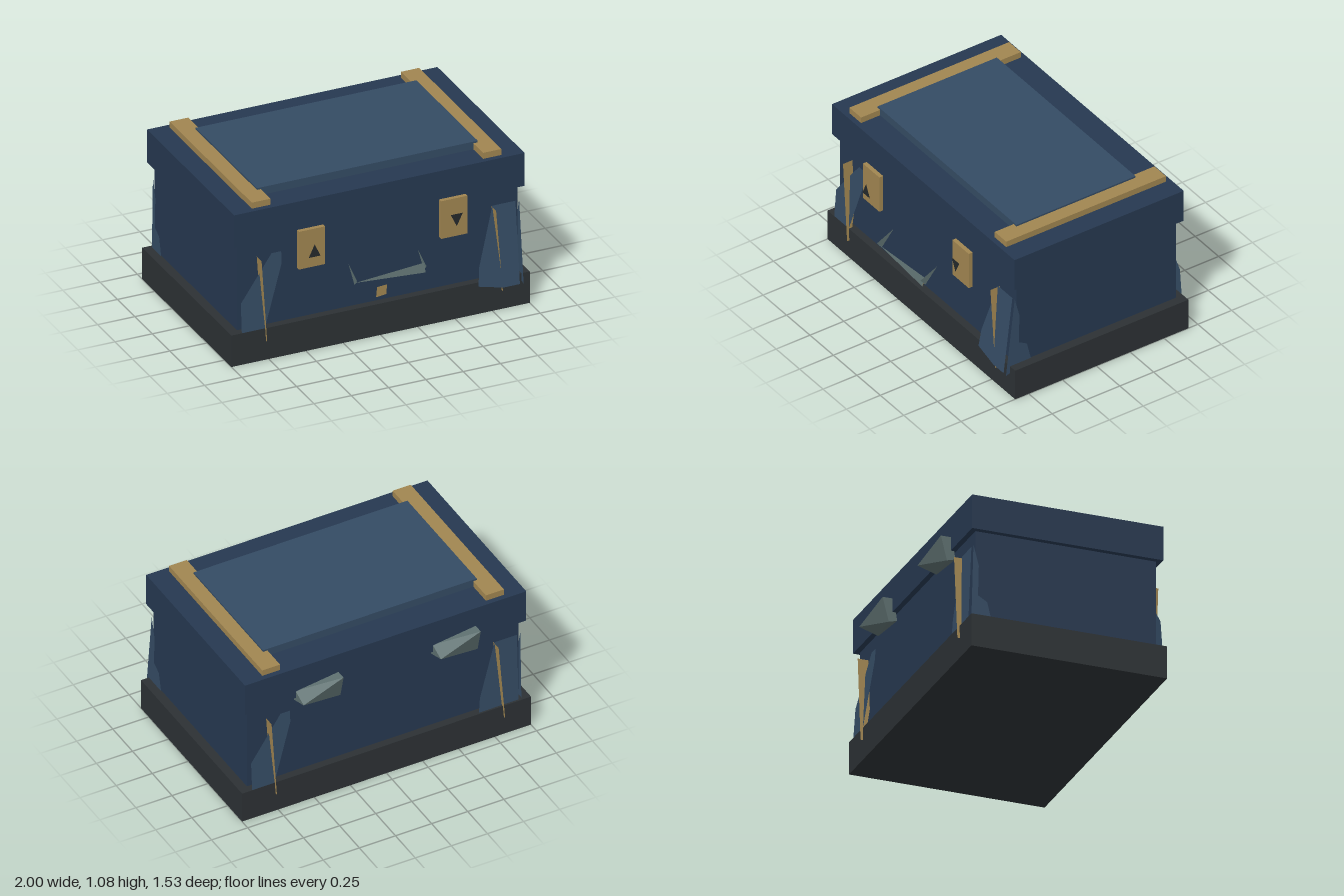
import * as THREE from 'three';
import { ConvexGeometry } from 'three/addons/geometries/ConvexGeometry.js';

const paint = (color, side = THREE.FrontSide) =>
  new THREE.MeshStandardMaterial({ color, side, flatShading: true });

export function createModel() {
  const model = new THREE.Group();
  const navy = paint(0x263850), slate = paint(0x344b63), brass = paint(0xa08550);
  const iron = paint(0x2c3134), steel = paint(0x5c6e6e);
  const thin = (color) => paint(color, THREE.DoubleSide);
  const slateThin = thin(0x344b63), brassThin = thin(0xa08550);
  const steelThin = thin(0x5c6e6e), darkThin = thin(0x24282b);

  const add = (name, geometry, material, parent = model) => {
    const mesh = new THREE.Mesh(geometry, material);
    mesh.name = name;
    parent.add(mesh);
    return mesh;
  };

  // Box given by its limits on each axis
  const block = (name, [x0, x1], [y0, y1], [z0, z1], material) => {
    const g = new THREE.BoxGeometry(x1 - x0, y1 - y0, z1 - z0);
    g.translate((x0 + x1) / 2, (y0 + y1) / 2, (z0 + z1) / 2);
    return add(name, g, material);
  };

  // Flat outline whose points are placed in space by a rule
  const sheet = (name, outline, place, material, parent = model) => {
    const g = new THREE.ShapeGeometry(new THREE.Shape(outline.map(([a, b]) => new THREE.Vector2(a, b))));
    const p = g.attributes.position;
    for (let i = 0; i < p.count; i++) p.setXYZ(i, ...place(p.getX(i), p.getY(i)));
    g.computeVertexNormals();
    return add(name, g, material, parent);
  };

  // Base, body and lid
  block('base', [-1, 1], [0, 0.215], [-0.68, 0.6], iron);
  block('body', [-0.94, 0.94], [0.2, 0.81], [-0.63, 0.55], navy);
  block('lid', [-0.975, 0.972], [0.8, 1.025], [-0.665, 0.585], navy);
  block('lidPanel', [-0.74, 0.74], [1.02, 1.077], [-0.47, 0.41], slate);
  block('lidStrapRight', [-0.84, -0.715], [1.02, 1.066], [-0.63, 0.55], brass);
  block('lidStrapLeft', [0.71, 0.833], [1.02, 1.066], [-0.63, 0.55], brass);

  // Latches with floating triangular keyholes
  for (const [x, dir] of [[-0.478, 1], [0.475, -1]]) {
    block('latchPlate', [x - 0.088, x + 0.088], [0.59, 0.848], [0.612, 0.64], brass);
    sheet('keyhole', [[-0.04, -0.042], [0.04, -0.042], [0, 0.042]],
      (a, b) => [x + a * dir, 0.718 + b * dir, 0.677], darkThin);
  }
  sheet('lockPlate', [[-0.035, 0.27], [0.033, 0.277], [0.039, 0.343], [-0.028, 0.338]],
    (x, y) => [x, y, 0.61], brassThin);

  // Handle: a tapering sliver with a triangular bracket at each end
  sheet('handleBar', [[-0.24, 0.476], [0.23, 0.449], [0.23, 0.508]],
    (x, y) => [x, y, 0.745 - (y - 0.476) * 0.3], steelThin);
  for (const x of [-0.235, 0.23]) {
    sheet('handleBracket', [[0.766, 0.498], [0.643, 0.555], [0.73, 0.453]],
      (z, y) => [x, y, z], steelThin);
  }

  // Corner plates and upright ribs, repeated at the back by a half turn
  const rightPlate = [[-0.93, 0.2], [-0.78, 0.2], [-0.65, 0.62], [-0.65, 0.7], [-0.715, 0.7], [-0.93, 0.41]];
  const leftPlate = [[0.645, 0.2], [0.81, 0.16], [0.92, 0.16], [0.92, 0.7], [0.765, 0.7], [0.655, 0.32]];
  const sidePlate = [[0.63, 0.155], [0.565, 0.705], [0.53, 0.57], [0.535, 0.37], [0.475, 0.335], [0.445, 0.21]];
  for (const back of [false, true]) {
    const trim = new THREE.Group();
    trim.name = back ? 'backTrim' : 'frontTrim';
    sheet('cornerPlateRight', rightPlate, (x, y) => [x, y, 0.6 - (y - 0.2) * 0.07], slateThin, trim);
    sheet('cornerPlateLeft', leftPlate,
      (x, y) => [x, y, (back ? 0.59 : 0.63) - (y - 0.16) * (back ? 0.04 : 0.12)], slateThin, trim);
    sheet('cornerPlateSide', sidePlate,
      (z, y) => [0.945, y, back ? Math.min(z, 0.58) : z], slateThin, trim);
    for (const [top, bottom] of [[-0.807, -0.768], [0.765, 0.812]]) {
      sheet('rib', [[0.55, 0.69], [0.62, 0.69], [0.617, 0.13], [0.59, 0.13], [0.55, 0.35]],
        (z, y) => [bottom + (top - bottom) * (y - 0.13) / 0.56, y, z], brassThin, trim);
    }
    if (back) {
      trim.rotation.y = Math.PI;
      trim.position.z = -0.08;
    }
    model.add(trim);
  }

  // Faceted hinges behind the lid
  for (const x of [-0.625, 0.325]) {
    const corners = [
      [0, 0.89, -0.73], [0, 0.73, -0.69], [0, 0.745, -0.635], [0, 0.89, -0.655],
      [0.295, 0.81, -0.765], [0.295, 0.85, -0.66], [0.295, 0.77, -0.64],
    ].map(([a, y, z]) => new THREE.Vector3(x + a, y, z));
    add('hinge', new ConvexGeometry(corners), steel);
  }
  return model;
}
